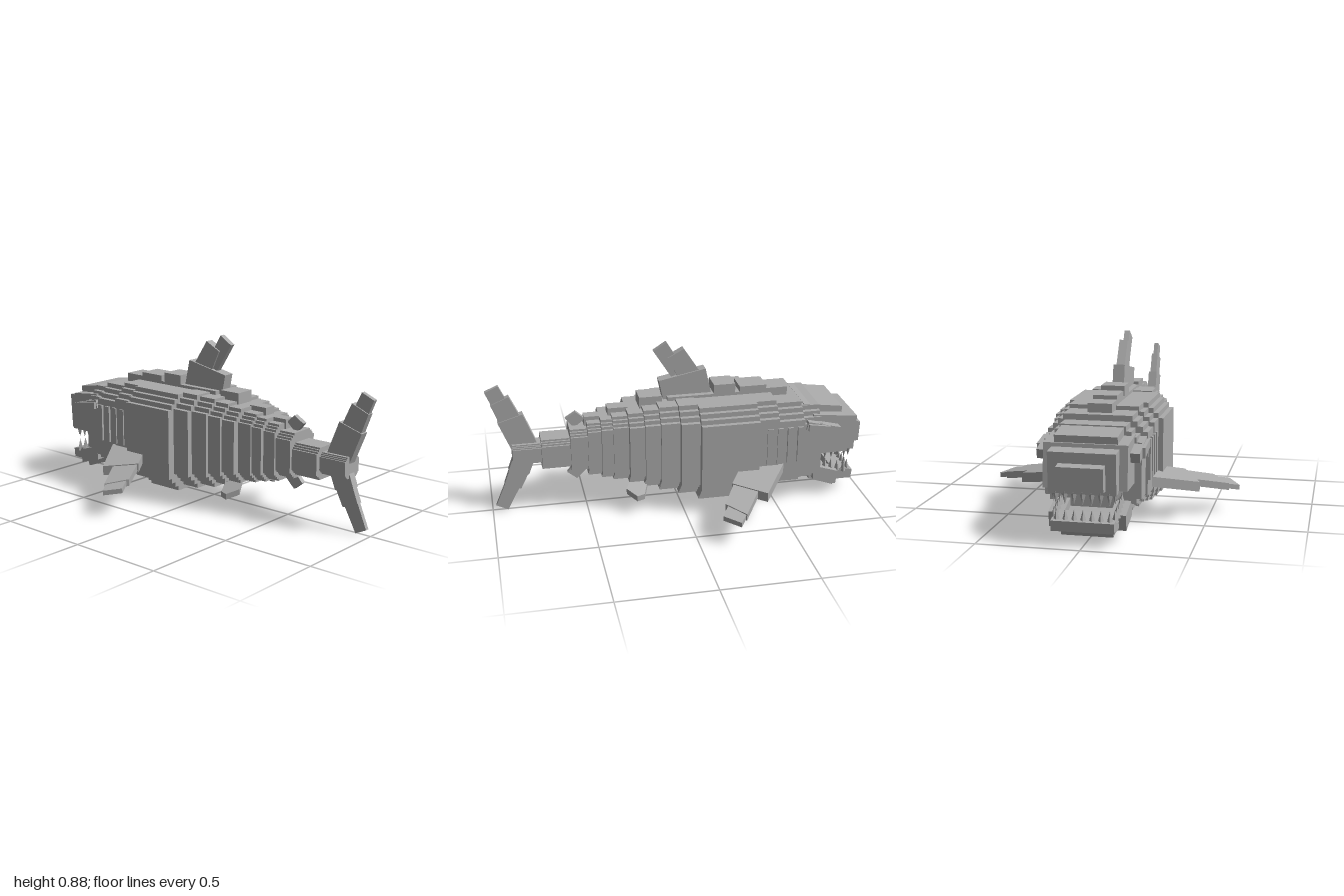
import * as THREE from 'three';
import { ConvexGeometry } from 'three/addons/geometries/ConvexGeometry.js';

export function createModel() {
  const model = new THREE.Group();
  const grey = new THREE.MeshStandardMaterial({ color: 0xaaaaaa });
  grey.name = 'plain grey';

  const add = (name, geometry, parent = model) => {
    const mesh = new THREE.Mesh(geometry, grey);
    mesh.name = name;
    parent.add(mesh);
    return mesh;
  };
  const group = (name) => {
    const g = new THREE.Group();
    g.name = name;
    model.add(g);
    return g;
  };
  const box = (name, x0, x1, y0, y1, z0, z1, parent) => add(name,
    new THREE.BoxGeometry(x1 - x0, y1 - y0, z1 - z0)
      .translate((x0 + x1) / 2, (y0 + y1) / 2, (z0 + z1) / 2), parent);
  // Side outline given as [z, y] points, extruded across x
  const slab = (name, points, x0, x1, parent) => {
    const shape = new THREE.Shape(points.map(([z, y]) => new THREE.Vector2(z, y)));
    const g = new THREE.ExtrudeGeometry(shape, { depth: x1 - x0, bevelEnabled: false });
    return add(name, g.rotateY(-Math.PI / 2).translate(x1, 0, 0), parent);
  };
  // Cross-section with three stair steps at every corner
  const section = (name, [z0, z1, hw, y0, y1], parent) => {
    const s = Math.min(0.025, hw * 0.11);
    const corner = [[0, 3], [1, 3], [1, 2], [2, 2], [2, 1], [3, 1], [3, 0]];
    const back = [...corner].reverse();
    const at = (list, sx, sy) => list.map(([a, b]) =>
      new THREE.Vector2(sx * (hw - a * s), sy > 0 ? y1 - b * s : y0 + b * s));
    const shape = new THREE.Shape([
      ...at(corner, 1, 1), ...at(back, -1, 1), ...at(corner, -1, -1), ...at(back, 1, -1)]);
    add(name, new THREE.ExtrudeGeometry(shape, { depth: z1 - z0, bevelEnabled: false })
      .translate(0, 0, z0), parent);
  };

  // Body sections: z start, z end, half width, bottom, top
  const body = group('body');
  [[-0.74, -0.64, 0.235, 0.11, 0.53], [-0.64, -0.5, 0.245, 0.1, 0.56],
    [-0.5, -0.39, 0.25, 0.08, 0.58], [-0.39, -0.28, 0.275, 0.08, 0.58],
    [-0.28, -0.08, 0.275, 0.055, 0.58], [-0.08, 0.02, 0.235, 0.08, 0.585],
    [0.02, 0.12, 0.205, 0.1, 0.575], [0.12, 0.2, 0.19, 0.125, 0.56],
    [0.2, 0.28, 0.175, 0.15, 0.545], [0.28, 0.36, 0.14, 0.165, 0.525],
    [0.36, 0.42, 0.13, 0.18, 0.51], [0.42, 0.49, 0.11, 0.195, 0.49],
    [0.49, 0.58, 0.1, 0.225, 0.46], [0.58, 0.73, 0.085, 0.245, 0.41],
    [0.73, 0.88, 0.06, 0.275, 0.385],
  ].forEach((s) => section('bodySection', s, body));

  // Raised plates along the back
  const plates = group('backPlates');
  [[-0.59, -0.475, 0.06, 0.605], [-0.475, -0.33, 0.06, 0.625], [-0.305, -0.19, 0.06, 0.645],
    [-0.33, 0.06, 0.06, 0.595], [0.09, 0.21, 0.055, 0.605], [0.27, 0.375, 0.035, 0.55],
    [0.42, 0.5, 0.03, 0.51],
  ].forEach(([z0, z1, w, top]) => box('backPlate', -w, w, top - 0.1, top, z0, z1, plates));

  // Dorsal fin, leaning back in three steps
  const dorsal = group('dorsalFin');
  slab('dorsalBase', [[0.1, 0.68], [-0.15, 0.73], [-0.18, 0.595], [0.075, 0.56]], -0.03, 0.03, dorsal);
  slab('dorsalMiddle', [[0.05, 0.8], [-0.035, 0.845], [-0.13, 0.7], [-0.02, 0.65]], -0.022, 0.022, dorsal);
  slab('dorsalTip', [[0.125, 0.84], [0.055, 0.885], [-0.04, 0.73], [0.03, 0.69]], -0.014, 0.014, dorsal);
  slab('rearDorsalFin', [[0.595, 0.5], [0.54, 0.535], [0.495, 0.495], [0.55, 0.445]], -0.013, 0.013);
  slab('analFin', [[0.595, 0.19], [0.545, 0.15], [0.485, 0.21], [0.54, 0.25]], -0.013, 0.013);

  // Tail fin
  const tail = group('tailFin');
  [['upperBase', 0.024, [[0.945, 0.51], [0.815, 0.55], [0.74, 0.36], [0.86, 0.3]]],
    ['upperMiddle', 0.018, [[0.975, 0.61], [0.88, 0.65], [0.79, 0.455], [0.9, 0.41]]],
    ['upperTip', 0.012, [[1, 0.68], [0.93, 0.71], [0.85, 0.54], [0.93, 0.51]]],
    ['lowerBase', 0.021, [[0.905, 0.23], [0.8, 0.2], [0.745, 0.34], [0.85, 0.38]]],
    ['lowerMiddle', 0.017, [[0.93, 0.155], [0.845, 0.12], [0.775, 0.26], [0.875, 0.3]]],
    ['lowerTip', 0.011, [[0.98, 0.03], [0.92, 0], [0.85, 0.13], [0.925, 0.16]]],
  ].forEach(([name, w, pts]) => slab(name, pts, -w, w, tail));

  // Head and upper jaw
  const head = group('head');
  slab('crown', [[-0.66, 0.535], [-0.875, 0.505], [-0.87, 0.44], [-0.66, 0.44]], -0.15, 0.15, head);
  slab('skull', [[-0.7, 0.49], [-0.88, 0.47], [-0.9, 0.26], [-0.7, 0.26]], -0.2, 0.2, head);
  slab('snout', [[-0.84, 0.455], [-0.96, 0.445], [-0.95, 0.25], [-0.84, 0.26]], -0.16, 0.16, head);
  slab('nose', [[-0.92, 0.4], [-1, 0.385], [-0.995, 0.275], [-0.92, 0.265]], -0.11, 0.11, head);

  // Lower jaw
  const jaw = group('lowerJaw');
  slab('jawFloor', [[-0.72, 0.14], [-0.88, 0.085], [-0.855, 0.025], [-0.715, 0.075]], -0.125, 0.125, jaw);
  slab('jawFront', [[-0.84, 0.14], [-0.955, 0.12], [-0.95, 0.07], [-0.84, 0.07]], -0.15, 0.15, jaw);

  // Teeth around both jaws
  const teeth = group('teeth');
  const tooth = (x, z, y, up, h) => {
    const g = new THREE.ConeGeometry(0.018, h, 4);
    if (!up) g.rotateX(Math.PI);
    add('tooth', g.toNonIndexed().translate(x, y + (up ? h / 2 : -h / 2), z), teeth)
      .geometry.computeVertexNormals();
  };
  for (let i = 0; i < 7; i++) {
    const x = -0.126 + i * 0.042;
    tooth(x, -0.935, 0.26, false, 0.065);
    tooth(x, -0.93, 0.11, true, 0.065);
  }

  // Mirrored parts
  for (const side of [1, -1]) {
    const across = (name, pts, a, b, parent) =>
      slab(name, pts, Math.min(side * a, side * b), Math.max(side * a, side * b), parent);
    across('brow', [[-0.66, 0.47], [-0.84, 0.425], [-0.83, 0.38], [-0.65, 0.425]], 0.18, 0.245, head);
    across('cheek', [[-0.66, 0.46], [-0.78, 0.44], [-0.78, 0.39], [-0.66, 0.42]], 0.2, 0.26, head);
    across('jawSide', [[-0.72, 0.18], [-0.86, 0.135], [-0.85, 0.06], [-0.72, 0.1]], 0.11, 0.185, jaw);
    for (let i = 0; i < 5; i++) {
      const z = -0.76 - i * 0.036;
      tooth(side * 0.145, z, 0.265, false, 0.065);
      tooth(side * 0.145, z, 0.155 - i * 0.01, true, 0.06);
    }
    // Gill ribs
    for (let i = 0; i < 4; i++) {
      const x = side * 0.247;
      box('gillRib', x - 0.01, x + 0.01, 0.25, 0.45, -0.63 + i * 0.055, -0.6 + i * 0.055, body);
    }
    // Fin plate from [x, z] corners, sloping down away from the body
    const fin = (name, corners, y0, slope, thick) => {
      const pts = corners.flatMap(([x, z]) => [0, thick].map((t) =>
        new THREE.Vector3(side * x, y0 - slope * x - t, z)));
      add(name, new ConvexGeometry(pts));
    };
    fin('pectoralFinBase', [[0.2, -0.56], [0.46, -0.385], [0.36, -0.22], [0.2, -0.32]], 0.3, 0.24, 0.05);
    fin('pectoralFinMiddle', [[0.4, -0.36], [0.59, -0.24], [0.5, -0.15], [0.32, -0.25]], 0.295, 0.24, 0.036);
    fin('pectoralFinTip', [[0.55, -0.26], [0.64, -0.2], [0.58, -0.12], [0.46, -0.19]], 0.29, 0.24, 0.025);
    fin('pelvicFin', [[0.06, 0.16], [0.19, 0.21], [0.2, 0.25], [0.15, 0.3], [0.06, 0.25]], 0.205, 0.5, 0.03);
  }
  return model;
}
